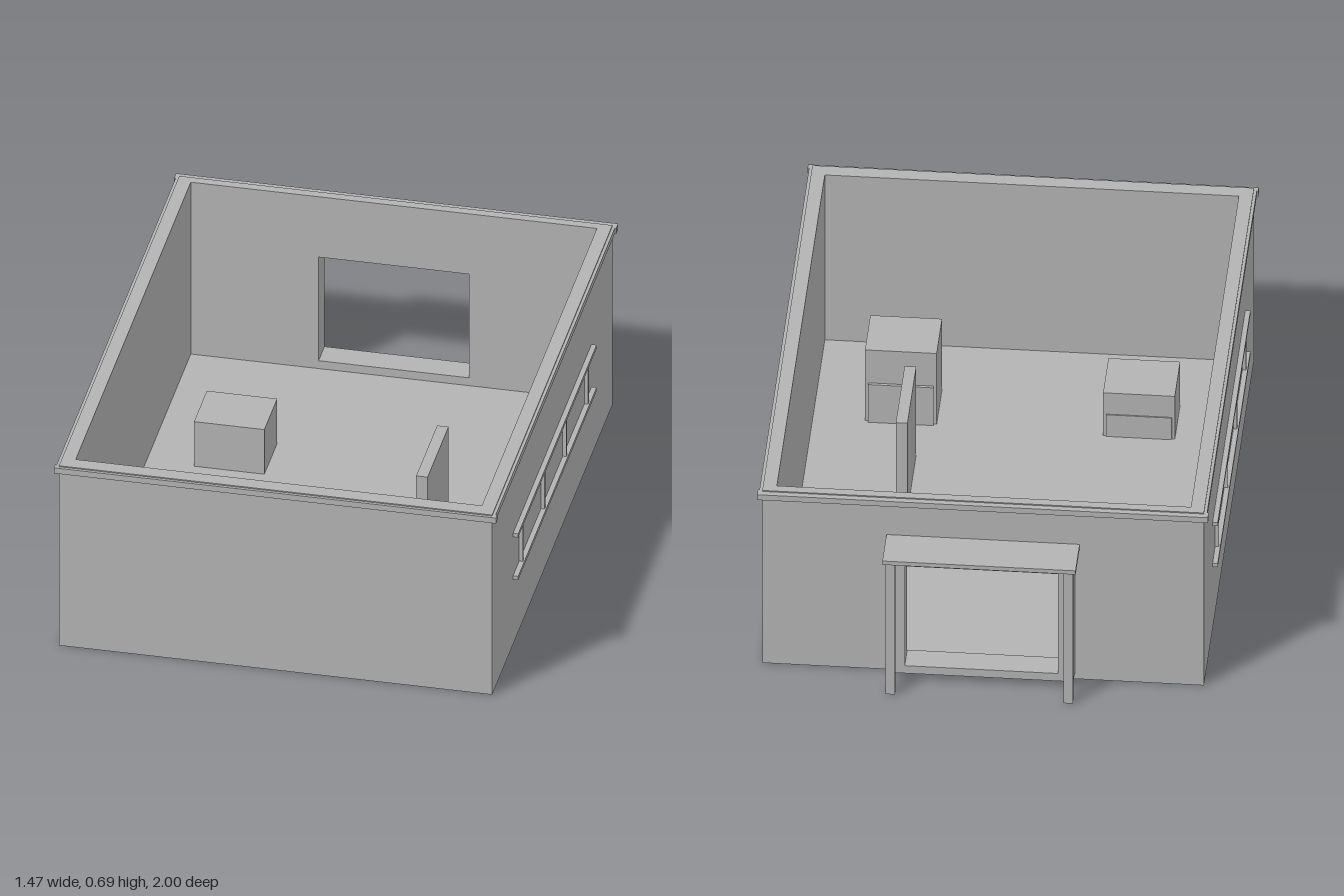
import * as THREE from 'three';

export function createModel() {
  const model = new THREE.Group();
  model.name = 'roomShell';
  const grey = new THREE.MeshStandardMaterial({ color: 0xb3b3b3 });
  grey.name = 'plain grey';

  // Box given by its lower and upper limits on each axis
  const box = (name, [x0, x1], [y0, y1], [z0, z1], parent = model) => {
    const mesh = new THREE.Mesh(new THREE.BoxGeometry(x1 - x0, y1 - y0, z1 - z0), grey);
    mesh.position.set((x0 + x1) / 2, (y0 + y1) / 2, (z0 + z1) / 2);
    mesh.name = name;
    parent.add(mesh);
    return mesh;
  };
  const group = (name) => {
    const g = new THREE.Group();
    g.name = name;
    model.add(g);
    return g;
  };
  // Limits along x, mirrored for the given side
  const side = (s, a, b) => (s > 0 ? [a, b] : [-b, -a]);

  // Floor and three plain walls
  const H = 0.685, floorY = 0.03;
  box('floor', [-0.675, 0.675], [0, floorY], [-0.82, 0.94]);
  box('frontWall', [-0.72, 0.72], [0, H], [0.94, 0.99]);
  for (const s of [1, -1]) {
    box(s > 0 ? 'leftWall' : 'rightWall', side(s, 0.675, 0.72), [0, H], [-0.82, 0.94]);
  }

  // Back wall with the doorway cut through
  const rect = (P, x, y0, y1) => {
    const p = new P();
    p.moveTo(-x, y0);
    p.lineTo(x, y0);
    p.lineTo(x, y1);
    p.lineTo(-x, y1);
    p.closePath();
    return p;
  };
  const wall = rect(THREE.Shape, 0.72, 0, H);
  wall.holes.push(rect(THREE.Path, 0.25, 0.06, 0.455));
  const backWall = new THREE.Mesh(
    new THREE.ExtrudeGeometry(wall, { depth: 0.03, bevelEnabled: false }), grey);
  backWall.position.z = -0.85;
  backWall.name = 'backWall';
  model.add(backWall);

  // Trim just under the wall tops
  const trim = group('topTrim');
  box('frontTrim', [-0.735, 0.735], [0.66, 0.681], [0.98, 1.0], trim);
  box('backTrim', [-0.735, 0.735], [0.66, 0.681], [-0.87, -0.84], trim);
  for (const s of [1, -1]) {
    box('sideTrim', side(s, 0.71, 0.73), [0.66, 0.681], [-0.84, 0.98], trim);
  }

  // Door frame on the back wall
  const frame = group('doorFrame');
  for (const s of [1, -1]) {
    box('jamb', side(s, 0.25, 0.3), [floorY, 0.485], [-0.91, -0.85], frame);
  }
  box('sill', [-0.25, 0.25], [floorY, 0.06], [-0.91, -0.85], frame);
  box('lintel', [-0.25, 0.25], [0.455, 0.485], [-0.91, -0.85], frame);
  box('header', [-0.31, 0.31], [0.485, 0.508], [-0.925, -0.85], frame);

  // Porch canopy on two posts
  const porch = group('porch');
  box('canopy', [-0.315, 0.315], [0.52, 0.535], [-1.0, -0.85], porch);
  for (const s of [1, -1]) {
    box('post', side(s, 0.275, 0.305), [0, 0.52], [-0.99, -0.968], porch);
  }

  // Ladders hung along both side walls
  for (const s of [1, -1]) {
    const ladder = group(s > 0 ? 'leftLadder' : 'rightLadder');
    for (const y of [0.247, 0.409]) {
      box('rail', side(s, 0.718, 0.737), [y, y + 0.014], [-0.53, 0.67], ladder);
    }
    for (let i = 0; i < 4; i++) {
      const z = 0.57 - i * 0.333;
      box('rung', side(s, 0.718, 0.732), [0.261, 0.409], [z - 0.006, z + 0.006], ladder);
    }
  }

  // Cabinets with a slightly raised lower panel at the back
  const cabinets = [
    { x: -0.4, z: -0.24, top: 0.2, panel: 0.012 },
    { x: -0.39, z: 0.58, top: 0.2, panel: 0.004 },
    { x: 0.388, z: 0.597, top: 0.31, panel: 0.01 },
  ];
  for (const { x, z, top, panel } of cabinets) {
    const cabinet = group('cabinet');
    box('cabinetBody', [x - 0.117, x + 0.117], [floorY, top], [z - 0.098, z + 0.098], cabinet);
    box('lowerPanel', [x - 0.107, x + 0.107], [floorY, top * 0.58],
      [z - 0.098 - panel, z - 0.098], cabinet);
  }

  // Short partition standing on the floor
  box('partition', [0.322, 0.36], [floorY, 0.38], [0, 0.32]);

  return model;
}
